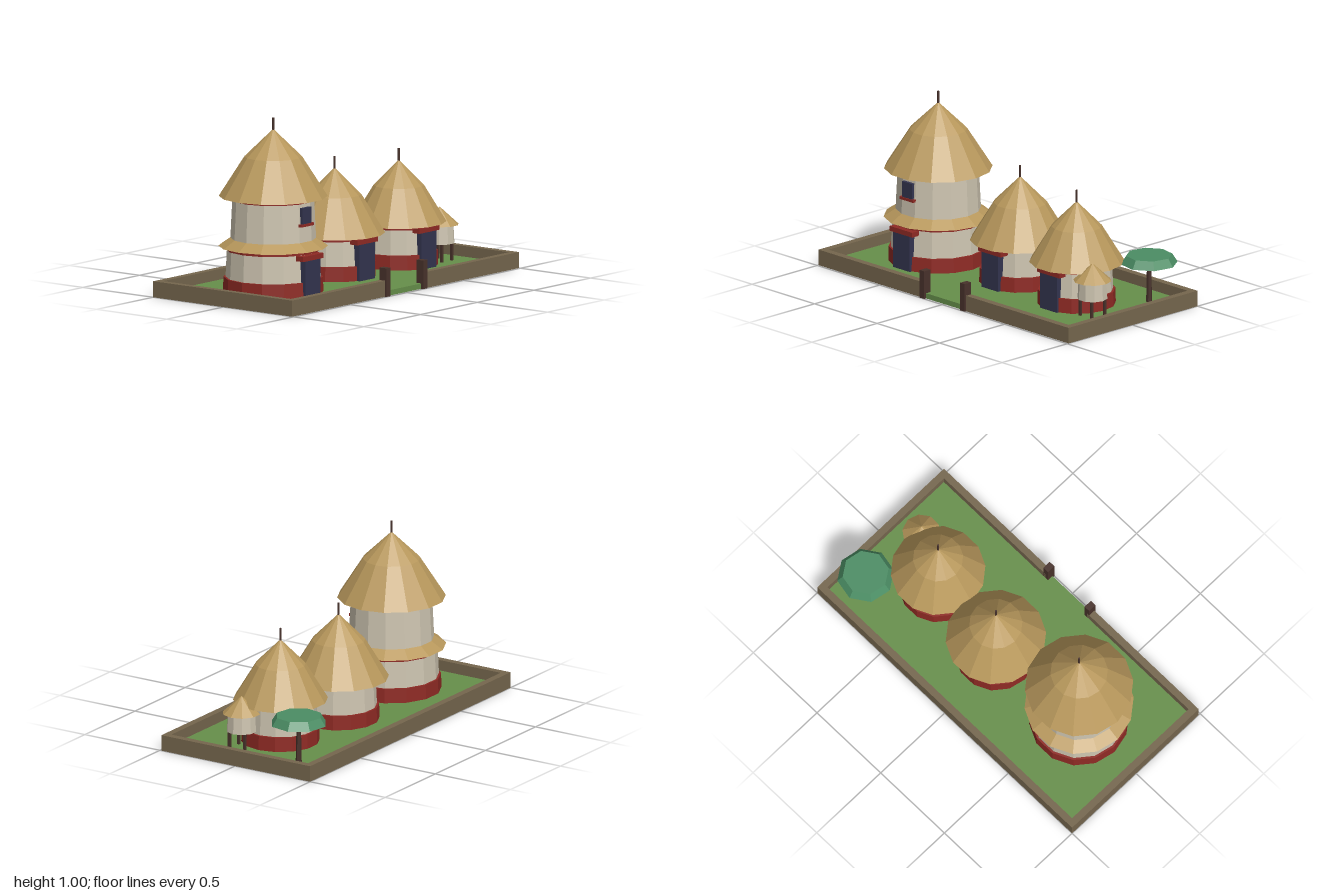
import * as THREE from 'three';

const paint = (name, color) => {
  const m = new THREE.MeshStandardMaterial({ color });
  m.name = name;
  return m;
};

export function createModel() {
  const thatch = paint('thatch', 0xb8985c);
  const plaster = paint('plaster', 0xcdc4b0);
  const red = paint('redClay', 0x8f2a24);
  const grass = paint('grass', 0x668f4a);
  const mud = paint('mudWall', 0x75664d);
  const wood = paint('darkWood', 0x48322b);
  const navy = paint('darkOpening', 0x33344f);
  const leaf = paint('foliage', 0x4b8d64);

  const root = new THREE.Group();
  root.name = 'walledCompound';

  const group = (name, x, z) => {
    const g = new THREE.Group();
    g.name = name;
    g.position.set(x, 0, z);
    root.add(g);
    return g;
  };
  const add = (parent, name, geometry, material) => {
    const mesh = new THREE.Mesh(geometry, material);
    mesh.name = name;
    parent.add(mesh);
    return mesh;
  };
  // Box given by its minimum and maximum on each axis
  const box = (parent, name, material, x0, x1, y0, y1, z0, z1) =>
    add(parent, name, new THREE.BoxGeometry(x1 - x0, y1 - y0, z1 - z0), material)
      .position.set((x0 + x1) / 2, (y0 + y1) / 2, (z0 + z1) / 2);
  // Faceted solid of revolution from [radius, height] pairs, bottom to top
  const turned = (parent, name, material, profile, sides = 14, turn = Math.PI / 2) => {
    const points = profile.map(([r, y]) => new THREE.Vector2(r, y));
    const g = new THREE.LatheGeometry(points, sides, turn).toNonIndexed();
    g.computeVertexNormals();
    return add(parent, name, g, material);
  };
  const drum = (parent, name, material, r0, r1, y0, y1, sides, turn) =>
    turned(parent, name, material, [[0, y0], [r0, y0], [r1, y1], [0, y1]], sides, turn);

  // Round thatched roof with a break in its slope and a pole on top
  const roof = (hut, r, eave, apex, poleTop) => {
    const knee = eave + (apex - eave) * 0.59;
    turned(hut, 'thatchRoof', thatch, [[0, eave], [r, eave], [r * 0.53, knee], [0, apex]]);
    drum(hut, 'roofPole', wood, 0.006, 0.006, apex - 0.03, poleTop, 6);
  };
  const door = (hut, front) => {
    box(hut, 'door', navy, -0.067, 0.067, 0.03, 0.235, front - 0.06, front);
    box(hut, 'doorLintel', red, -0.09, 0.09, 0.235, 0.263, front - 0.06, front + 0.003);
  };
  // Ground storey with red bands at the foot and the head
  const storey = (hut, r, top) => {
    drum(hut, 'footBand', red, r + 0.01, r + 0.008, 0.03, 0.112);
    drum(hut, 'plasterWall', plaster, r, r - 0.012, 0.03, top);
    drum(hut, 'headBand', red, r - 0.004, r - 0.004, top - 0.02, top);
  };

  // Ground and enclosing wall
  const yard = group('yard', 0, -0.005);
  box(yard, 'ground', grass, -0.995, 0.995, 0, 0.03, -0.49, 0.49);
  box(yard, 'backWall', mud, -1, 1, 0, 0.09, -0.495, -0.455);
  for (const s of [-1, 1]) {
    box(yard, 'sideWall', mud, s * 0.98 - 0.02, s * 0.98 + 0.02, 0, 0.09, -0.455, 0.455);
    const inner = s * 0.162;
    box(yard, 'frontWall', mud, Math.min(s, inner), Math.max(s, inner), 0, 0.09, 0.455, 0.495);
    box(yard, 'gatePost', wood, inner - 0.018, inner + 0.018, 0, 0.16, 0.455, 0.505);
  }

  // Two-storey tower
  const tower = group('tower', -0.556, -0.003);
  storey(tower, 0.268, 0.285);
  turned(tower, 'skirtRoof', thatch, [[0, 0.285], [0.304, 0.285], [0.235, 0.332], [0, 0.332]]);
  drum(tower, 'upperWall', plaster, 0.238, 0.226, 0.32, 0.565);
  drum(tower, 'upperBand', red, 0.235, 0.235, 0.547, 0.565);
  door(tower, 0.283);
  box(tower, 'window', navy, -0.04, 0.04, 0.435, 0.525, 0.2, 0.241);
  box(tower, 'windowSill', red, -0.055, 0.055, 0.42, 0.435, 0.2, 0.246);
  roof(tower, 0.302, 0.565, 0.942, 1.005);

  // Two single-storey huts
  const middleHut = group('middleHut', 0.047, -0.053);
  storey(middleHut, 0.218, 0.272);
  door(middleHut, 0.233);
  roof(middleHut, 0.28, 0.272, 0.637, 0.7);

  const leftHut = group('leftHut', 0.551, -0.003);
  storey(leftHut, 0.208, 0.272);
  door(leftHut, 0.216);
  roof(leftHut, 0.264, 0.272, 0.617, 0.682);

  // Small granary on four legs
  const granary = group('granary', 0.785, 0.1);
  for (const sx of [-1, 1]) for (const sz of [-1, 1]) {
    const x = sx * 0.045, z = sz * 0.05;
    box(granary, 'granaryLeg', wood, x - 0.007, x + 0.007, 0.03, 0.135, z - 0.007, z + 0.007);
  }
  drum(granary, 'granaryBody', plaster, 0.084, 0.078, 0.13, 0.235, 10);
  turned(granary, 'granaryRoof', thatch, [[0, 0.233], [0.107, 0.233], [0, 0.332]], 10);

  // Flat-topped shade tree
  const tree = group('shadeTree', 0.818, -0.303);
  drum(tree, 'trunk', wood, 0.017, 0.012, 0.03, 0.26, 6);
  drum(tree, 'canopy', leaf, 0.16, 0.13, 0.254, 0.301, 8, 0.2);

  return root;
}
